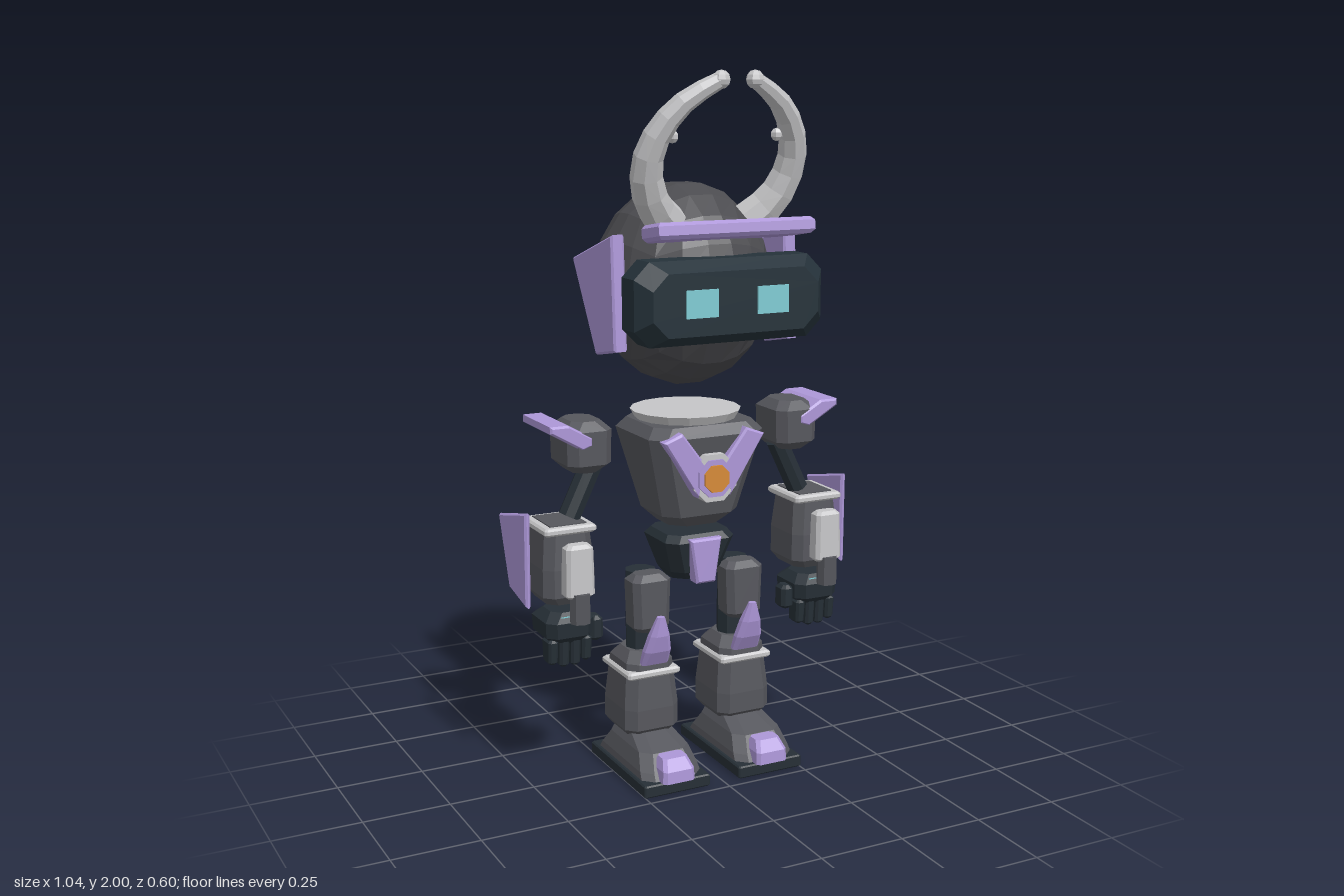
import * as THREE from 'three';

const mat = (name, color) => {
  const m = new THREE.MeshStandardMaterial({ color });
  m.name = name;
  return m;
};

// Stacked cut-corner rectangles: each section is [y, width, depth, z]
function loft(x, sections, cut) {
  const pos = [], idx = [], n = 8;
  for (const [y, w, d, z = 0] of sections) {
    const a = w / 2, b = d / 2, c = Math.min(cut, a * 0.6, b * 0.6);
    const ring = [[a, c - b], [a, b - c], [a - c, b], [c - a, b], [-a, b - c], [-a, c - b], [c - a, -b], [a - c, -b]];
    for (const [px, pz] of ring) pos.push(x + px, y, z + pz);
  }
  const top = (sections.length - 1) * n;
  for (let i = 0; i < top; i += n) {
    for (let j = 0; j < n; j++) {
      const k = (j + 1) % n;
      idx.push(i + j, i + n + j, i + k, i + k, i + n + j, i + n + k);
    }
  }
  for (let j = 1; j < n - 1; j++) idx.push(0, j, j + 1, top, top + j + 1, top + j);
  const g = new THREE.BufferGeometry();
  g.setAttribute('position', new THREE.Float32BufferAttribute(pos, 3));
  g.setIndex(idx);
  return g;
}

// Bevelled block tapering from [w0, d0] at y0 to [w1, d1] at y1
function block(x, z, y0, y1, [w0, d0], [w1, d1], b = 0.02) {
  return loft(x, [
    [y0, w0 - 2 * b, d0 - 2 * b, z], [y0 + b, w0, d0, z],
    [y1 - b, w1, d1, z], [y1, w1 - 2 * b, d1 - 2 * b, z],
  ], b);
}

// Flat outline pushed to a thickness centred on z = 0, with a small bevel
function plate(points, depth, bevel = 0.006) {
  const g = new THREE.ExtrudeGeometry(new THREE.Shape(points.map(p => new THREE.Vector2(...p))), {
    depth: depth - 2 * bevel, bevelEnabled: bevel > 0, bevelThickness: bevel,
    bevelSize: bevel, bevelOffset: -bevel, bevelSegments: 1,
  });
  return g.translate(0, 0, bevel - depth / 2);
}

// Outline given as (z, y), thickness along x
const sidePlate = (points, depth, x) => plate(points, depth).rotateY(-Math.PI / 2).translate(x, 0, 0);

function hornGeometry() {
  const curve = new THREE.CatmullRomCurve3([
    [0.125, 1.595, 0.11], [0.185, 1.655, 0.14], [0.218, 1.75, 0.175],
    [0.2, 1.84, 0.21], [0.14, 1.92, 0.245], [0.05, 1.976, 0.275],
  ].map(p => new THREE.Vector3(...p)));
  const n = 9, sides = 8;
  const g = new THREE.TubeGeometry(curve, n, 1, sides), p = g.attributes.position;
  const v = new THREE.Vector3();
  for (let i = 0; i < p.count; i++) {
    const t = Math.floor(i / (sides + 1)) / n, c = curve.getPointAt(t);
    v.fromBufferAttribute(p, i).sub(c).multiplyScalar(0.056 - 0.034 * t).add(c);
    p.setXYZ(i, v.x, v.y, v.z);
  }
  return g;
}

function headGeometry() {
  const g = new THREE.BoxGeometry(2, 2, 2, 5, 5, 5), p = g.attributes.position;
  const v = new THREE.Vector3(), bend = t => Math.tan(t * Math.PI / 4);
  for (let i = 0; i < p.count; i++) {
    v.set(bend(p.getX(i)), bend(p.getY(i)), bend(p.getZ(i))).normalize();
    p.setXYZ(i, v.x * 0.252, 1.41 + v.y * 0.289, -0.05 + v.z * 0.258);
  }
  return g;
}

export function createModel() {
  const root = new THREE.Group();
  root.name = 'robot';
  const headGrey = mat('head grey', 0x4c4c50), grey = mat('body grey', 0x56575d);
  const dark = mat('dark slate', 0x262f36), visorMat = mat('visor slate', 0x25323a);
  const purple = mat('lavender', 0xad97d8), light = mat('light grey', 0xc6c6c8);
  const cyan = mat('cyan', 0x80ccd4), orange = mat('orange', 0xd68a38);

  // Faceted mesh; side -1 gives the mirrored copy
  const add = (name, geometry, material, side = 1) => {
    const g = geometry.index ? geometry.toNonIndexed() : geometry.clone();
    if (side < 0) {
      const p = g.attributes.position, a = p.array;
      for (let i = 0; i < a.length; i += 9) {
        for (let k = 0; k < 3; k++) [a[i + 3 + k], a[i + 6 + k]] = [a[i + 6 + k], a[i + 3 + k]];
        for (let k = 0; k < 9; k += 3) a[i + k] *= -1;
      }
    }
    g.computeVertexNormals();
    const mesh = new THREE.Mesh(g, material);
    mesh.name = name;
    root.add(mesh);
  };
  const pair = (name, geometry, material) => {
    add('left ' + name, geometry, material);
    add('right ' + name, geometry, material, -1);
  };

  // Head, visor and brow
  add('head', headGeometry(), headGrey);
  const visor = loft(0, [
    [0.12, 0.5, 0.17], [0.16, 0.57, 0.228], [0.235, 0.57, 0.228], [0.28, 0.5, 0.17],
  ], 0.045).rotateX(Math.PI / 2).translate(0, 1.395, 0);
  add('visor', visor, visorMat);
  pair('eye', new THREE.BoxGeometry(0.095, 0.075, 0.008).translate(0.107, 1.397, 0.281), cyan);
  const brow = plate([[-0.2, 0.12], [0.2, 0.12], [0.24, 0.19], [0.235, 0.285], [-0.235, 0.285], [-0.24, 0.19]], 0.045, 0.01);
  brow.rotateX(Math.PI / 2).scale(1, 1, 1).translate(0, 0, -0.2).rotateX(-0.16).translate(0, 1.58, 0.2);
  add('brow', brow, purple);
  pair('ear plate', sidePlate([[0.095, 1.57], [-0.17, 1.485], [-0.016, 1.23], [0.112, 1.255]], 0.04, 0.266), purple);

  // Horns with a rounded tip and a small knob
  pair('horn', hornGeometry(), light);
  pair('horn tip', new THREE.SphereGeometry(0.025, 8, 6).translate(0.05, 1.976, 0.275), light);
  pair('horn knob', new THREE.SphereGeometry(0.018, 7, 5).translate(0.157, 1.83, 0.205), light);

  // Torso
  add('collar', new THREE.CylinderGeometry(0.16, 0.14, 0.035, 16).translate(0, 1.037, -0.03), light);
  add('torso', loft(0, [
    [0.73, 0.17, 0.16, -0.01], [0.765, 0.24, 0.22, -0.01], [1.0, 0.36, 0.3, -0.01], [1.03, 0.31, 0.26, -0.01],
  ], 0.04), grey);
  pair('chest strip', plate([[0.05, 0.83], [0.028, 0.925], [0.1, 1.02], [0.158, 0.998]], 0.045).translate(0, 0, 0.133), purple);
  const disc = (r, z0, z1) => new THREE.CylinderGeometry(r, r, z1 - z0, 8)
    .rotateY(Math.PI / 8).rotateX(Math.PI / 2).translate(0, 0.885, (z0 + z1) / 2);
  add('core rim', disc(0.073, 0.1, 0.155), light);
  add('core ring', disc(0.057, 0.12, 0.161), purple);
  add('core light', disc(0.041, 0.13, 0.168), orange);

  // Pelvis
  add('pelvis', loft(0, [
    [0.565, 0.13, 0.11, -0.01], [0.59, 0.16, 0.15, -0.01], [0.685, 0.22, 0.2, -0.01], [0.705, 0.19, 0.17, -0.01],
  ], 0.03), dark);
  add('pelvis plate', plate([[-0.03, 0.565], [0.03, 0.565], [0.05, 0.695], [-0.05, 0.695]], 0.05).translate(0, 0, 0.08), purple);

  // Arms
  pair('shoulder', block(0.33, -0.025, 0.91, 1.055, [0.13, 0.17], [0.135, 0.17], 0.025), grey);
  pair('shoulder flap', plate([[0.33, 0.99], [0.36, 0.98], [0.455, 1.035], [0.455, 1.055], [0.4, 1.055], [0.33, 1.015]], 0.21)
    .translate(0, 0, -0.042), purple);
  pair('upper arm', new THREE.CylinderGeometry(0.033, 0.033, 0.17, 8).rotateZ(0.45).translate(0.333, 0.855, -0.02), dark);
  pair('forearm', loft(0.398, [
    [0.545, 0.12, 0.14, -0.025], [0.57, 0.155, 0.175, -0.025], [0.65, 0.155, 0.175, -0.025], [0.755, 0.135, 0.155, -0.025],
  ], 0.025), grey);
  pair('forearm cuff', block(0.398, -0.025, 0.748, 0.77, [0.155, 0.175], [0.155, 0.175], 0.006), light);
  pair('forearm opening', new THREE.BoxGeometry(0.11, 0.006, 0.13).translate(0.398, 0.77, -0.025), grey);
  pair('forearm plate', block(0.397, 0.1, 0.58, 0.732, [0.085, 0.055], [0.08, 0.05], 0.01), light);
  pair('forearm barrel', new THREE.CylinderGeometry(0.03, 0.03, 0.085, 8).translate(0.397, 0.553, 0.112), grey);
  pair('forearm shield', sidePlate([[0.018, 0.812], [-0.188, 0.765], [-0.115, 0.565], [0.015, 0.538]], 0.016, 0.51), purple);

  // Hands
  pair('palm', block(0.4, -0.008, 0.428, 0.522, [0.14, 0.15], [0.145, 0.155], 0.025), dark);
  pair('palm light', new THREE.BoxGeometry(0.06, 0.008, 0.13).translate(0.4, 0.508, -0.008), cyan);
  for (let i = 0; i < 4; i++) {
    pair('finger ' + (i + 1), block(0.349 + i * 0.034, 0.022, i % 3 ? 0.362 : 0.372, 0.445, [0.028, 0.05], [0.03, 0.06], 0.007), dark);
  }
  pair('thumb', block(0.312, 0.01, 0.42, 0.492, [0.04, 0.055], [0.04, 0.055], 0.01), dark);

  // Legs
  pair('thigh', block(0.15, 0.025, 0.425, 0.597, [0.11, 0.09], [0.12, 0.09], 0.018), grey);
  pair('thigh piston', new THREE.CylinderGeometry(0.046, 0.046, 0.24, 8).translate(0.15, 0.475, -0.022), dark);
  pair('knee guard', loft(0.148, [
    [0.335, 0.085, 0.03, 0.06], [0.38, 0.082, 0.045, 0.08], [0.43, 0.06, 0.045, 0.094], [0.487, 0.022, 0.02, 0.108],
  ], 0.015), purple);
  pair('shin', loft(0.15, [
    [0.12, 0.14, 0.16, -0.022], [0.14, 0.17, 0.195, -0.022], [0.2, 0.17, 0.195, -0.022],
    [0.335, 0.145, 0.17, -0.022], [0.365, 0.1, 0.12, -0.022],
  ], 0.028), grey);
  pair('shin band', block(0.15, -0.022, 0.294, 0.316, [0.165, 0.19], [0.165, 0.19], 0.006), light);

  // Feet
  pair('sole', block(0.15, 0.033, 0, 0.036, [0.207, 0.375], [0.207, 0.375], 0.004), dark);
  pair('foot', loft(0.15, [
    [0.034, 0.185, 0.35, 0.03], [0.055, 0.18, 0.32, 0.03], [0.1, 0.155, 0.25, 0.03], [0.13, 0.125, 0.16, -0.01],
  ], 0.03), grey);
  pair('toe cap', loft(0.15, [
    [0.036, 0.1, 0.09, 0.19], [0.07, 0.096, 0.085, 0.19], [0.1, 0.075, 0.05, 0.182],
  ], 0.01), purple);

  return root;
}
